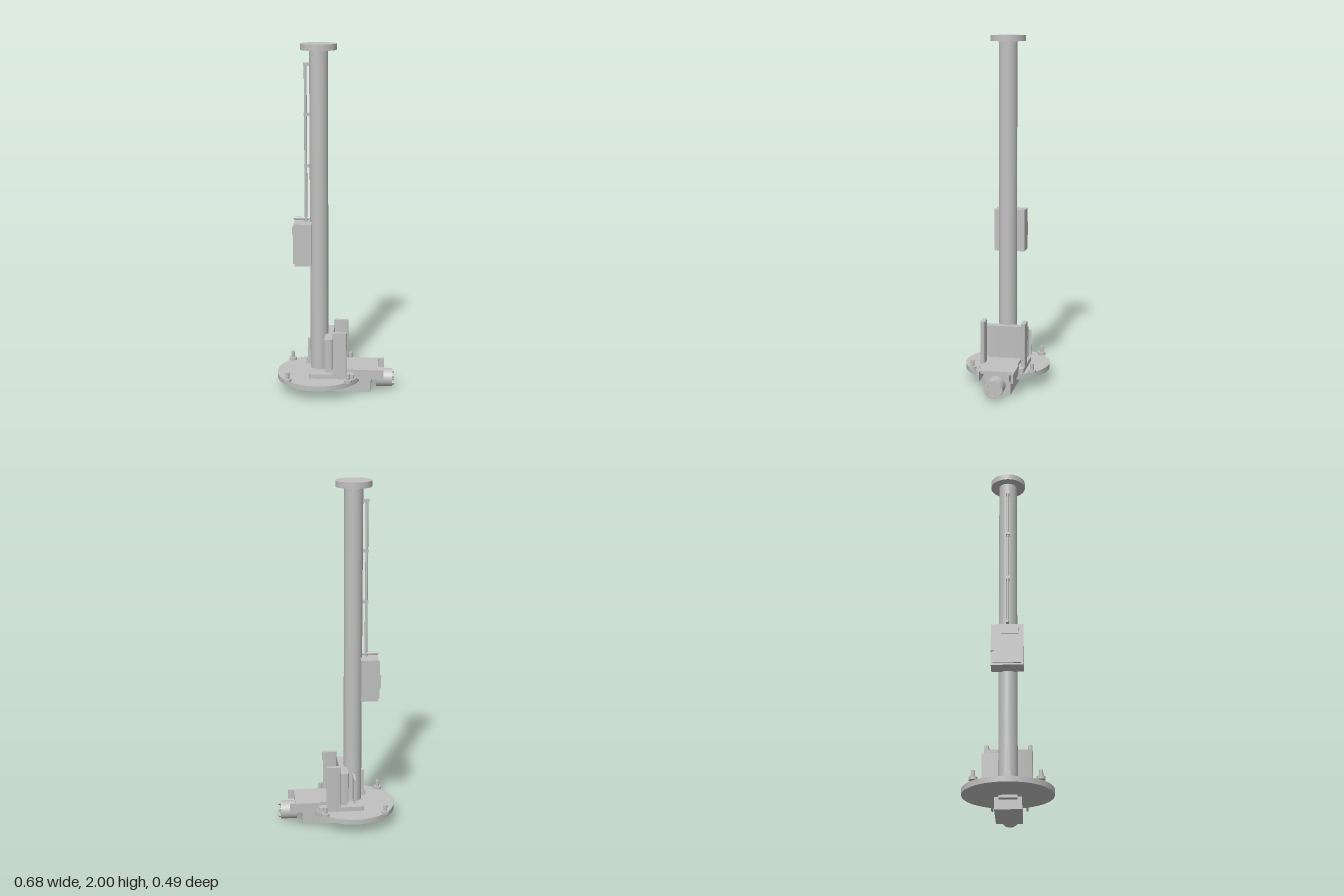
import * as THREE from 'three';
import { toCreasedNormals } from 'three/addons/utils/BufferGeometryUtils.js';

export function createModel() {
  const model = new THREE.Group();
  model.name = 'columnOnBase';
  const grey = new THREE.MeshStandardMaterial({ color: 0xc0c0c0 });
  grey.name = 'steelGrey';
  const CX = -0.097; // column axis

  const add = (name, geometry) => {
    const mesh = new THREE.Mesh(geometry, grey);
    mesh.name = name;
    model.add(mesh);
    return mesh;
  };
  // Box given by its limits on each axis
  const box = (name, x0, x1, y0, y1, z0, z1) =>
    add(name, new THREE.BoxGeometry(x1 - x0, y1 - y0, z1 - z0))
      .position.set((x0 + x1) / 2, (y0 + y1) / 2, (z0 + z1) / 2);
  // Upright cylinder from y0 to y1
  const post = (name, r, x, y0, y1, z, sides = 48) =>
    add(name, new THREE.CylinderGeometry(r, r, y1 - y0, sides)).position.set(x, (y0 + y1) / 2, z);
  // Cylinder lying along x
  const rod = (name, r, x0, x1, y, z, sides = 40) => {
    const m = add(name, new THREE.CylinderGeometry(r, r, x1 - x0, sides));
    m.rotation.z = -Math.PI / 2;
    m.position.set((x0 + x1) / 2, y, z);
  };
  // Upright block with rounded vertical edges
  const roundedBlock = (name, x0, x1, y0, y1, z0, z1, r) => {
    const s = new THREE.Shape();
    s.moveTo(x0 + r, z0);
    s.lineTo(x1 - r, z0);
    s.absarc(x1 - r, z0 + r, r, -Math.PI / 2, 0);
    s.absarc(x1 - r, z1 - r, r, 0, Math.PI / 2);
    s.absarc(x0 + r, z1 - r, r, Math.PI / 2, Math.PI);
    s.absarc(x0 + r, z0 + r, r, Math.PI, Math.PI * 1.5);
    const g = new THREE.ExtrudeGeometry(s, { depth: y1 - y0, bevelEnabled: false, curveSegments: 6 });
    g.rotateX(-Math.PI / 2);
    add(name, toCreasedNormals(g, 0.6)).position.y = y0;
  };

  // Base disc, column and cap
  post('baseDisc', 0.246, CX, 0.068, 0.098, 0, 72);
  post('column', 0.052, CX, 0.098, 1.966, 0);
  post('columnCap', 0.1, CX, 1.966, 2, 0, 64);

  // Anchor bolts with their washers
  for (const x of [-0.27, 0.077]) {
    for (const z of [-0.174, 0.174]) {
      post('anchorWasher', 0.023, x, 0.098, 0.114, z, 24);
      post('anchorBolt', 0.011, x, 0.114, 0.15, z, 20);
    }
  }

  // Mounting plate with panel and uprights
  roundedBlock('mountingPlate', -0.15, 0.11, 0.098, 0.125, -0.131, 0.131, 0.012);
  box('panelFoot', -0.055, -0.02, 0.125, 0.155, -0.1, 0.1);
  roundedBlock('rearPanel', -0.062, -0.016, 0.155, 0.335, -0.131, 0.131, 0.008);
  for (const s of [-1, 1]) {
    roundedBlock('upright', -0.015, 0.067, 0.125, 0.375,
      Math.min(s * 0.106, s * 0.131), Math.max(s * 0.106, s * 0.131), 0.008);
  }

  // Fins at the foot of the column
  box('backFin', -0.104, -0.091, 0.15, 0.3, -0.14, -0.04);
  box('sideFin', -0.165, -0.14, 0.18, 0.3, -0.007, 0.007);
  box('sideFinFoot', -0.173, -0.14, 0.145, 0.18, -0.014, 0.014);

  // Drive arm: cover, side rails and gear housing
  box('armCover', -0.015, 0.245, 0.128, 0.146, -0.094, 0.094);
  for (const s of [-1, 1]) {
    box('armRail', 0.1, 0.278, 0.09, 0.146,
      Math.min(s * 0.092, s * 0.103), Math.max(s * 0.092, s * 0.103));
  }
  box('upperHousing', 0.05, 0.243, 0.088, 0.13, -0.074, 0.074);
  box('lowerHousing', -0.08, 0.205, 0, 0.09, -0.074, 0.074);
  box('housingTab', -0.115, -0.08, 0.052, 0.068, -0.05, 0.05);

  // Motor with a ring of end bolts
  rod('motor', 0.053, 0.235, 0.328, 0.066, 0);
  for (let i = 0; i < 6; i++) {
    const a = (i + 0.5) * Math.PI / 3;
    rod('motorBolt', 0.007, 0.326, 0.34, 0.066 + 0.041 * Math.sin(a), 0.041 * Math.cos(a), 10);
  }

  // Control box on the column
  box('controlBox', -0.232, -0.135, 0.757, 1, -0.09, 0.088);
  box('controlDoor', -0.241, -0.232, 0.767, 0.99, -0.079, 0.075);
  box('doorHandle', -0.247, -0.232, 0.835, 0.915, -0.09, -0.072);
  box('doorPlate', -0.247, -0.241, 0.935, 0.973, -0.034, 0.06);

  // Conduit rising from the box, with clips
  rod('conduitElbow', 0.008, -0.241, -0.14, 1.017, 0, 16);
  post('conduit', 0.008, -0.171, 1, 1.89, 0, 16);
  for (const y of [1.32, 1.61, 1.887]) {
    box('conduitClip', -0.181, -0.14, y - 0.009, y + 0.009, -0.01, 0.01);
  }
  return model;
}
